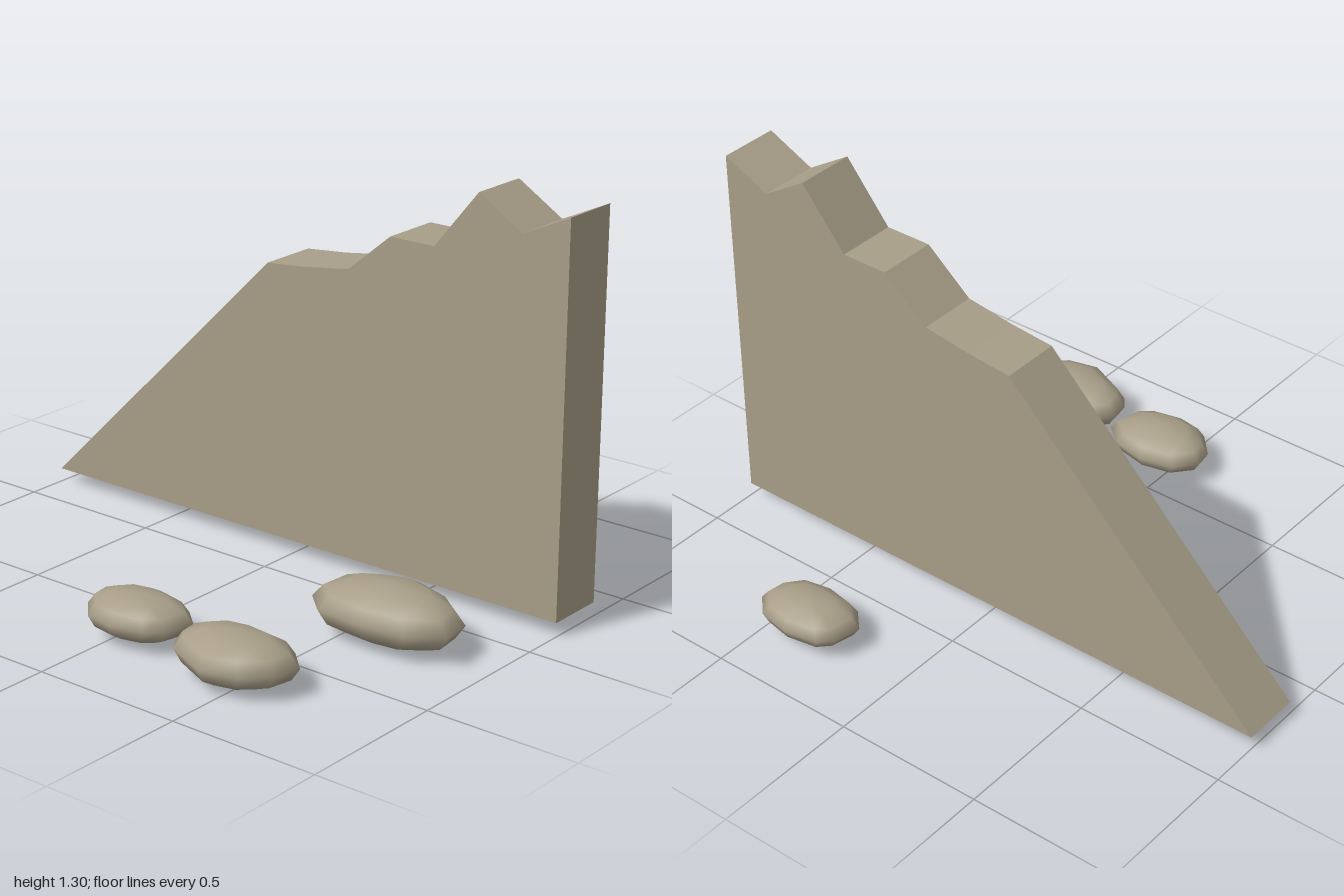
import * as THREE from 'three';

const stone = new THREE.MeshStandardMaterial({ color: 0xa89e88 });
stone.name = 'stone';

// Broken wall: jagged sloping silhouette extruded to its thickness
function createWall() {
  const profile = [
    [-1, 0.045], [1, 0.045], [1, 1.28], [0.84, 1.205], [0.685, 1.3], [0.53, 1.11],
    [0.37, 1.11], [0.215, 0.98], [0.05, 0.955], [-0.1, 0.94],
  ].map(([x, y]) => new THREE.Vector2(x, y));
  const geometry = new THREE.ExtrudeGeometry(new THREE.Shape(profile), { depth: 0.2, bevelEnabled: false });
  geometry.translate(0, 0, -0.335);
  const wall = new THREE.Mesh(geometry, stone);
  wall.name = 'brokenWall';
  return wall;
}

// Ring heights (0 bottom, 1 top) and widths of a flattened boulder, top to bottom
const LEVELS = [[0.9, 0.55], [0.74, 0.85], [0.5, 1], [0.25, 0.87], [0.08, 0.56]];

// Smooth rock: its plan outline is scaled at each level and closed by two poles
function createRock(name, y0, y1, outline) {
  const n = outline.length;
  const cx = outline.reduce((s, p) => s + p[0], 0) / n;
  const cz = outline.reduce((s, p) => s + p[1], 0) / n;
  const positions = [];
  for (const [h, w] of LEVELS) {
    for (const [x, z] of outline) {
      positions.push(cx + (x - cx) * w, y0 + (y1 - y0) * h, cz + (z - cz) * w);
    }
  }
  positions.push(cx, y1, cz, cx, y0, cz);

  const top = n * LEVELS.length;
  const last = n * (LEVELS.length - 1);
  const index = [];
  for (let i = 0; i < n; i++) {
    const j = (i + 1) % n;
    index.push(top, j, i, top + 1, last + i, last + j);
    for (let a = 0; a < last; a += n) {
      const b = a + n;
      index.push(a + i, a + j, b + j, a + i, b + j, b + i);
    }
  }
  const geometry = new THREE.BufferGeometry();
  geometry.setAttribute('position', new THREE.Float32BufferAttribute(positions, 3));
  geometry.setIndex(index);
  geometry.computeVertexNormals();
  const rock = new THREE.Mesh(geometry, stone);
  rock.name = name;
  return rock;
}

export function createModel() {
  const group = new THREE.Group();
  group.name = 'ruinedWall';
  group.add(
    createWall(),
    createRock('frontRightRock', 0.01, 0.15, [
      [-0.12, 0.62], [-0.06, 0.55], [0.055, 0.525], [0.17, 0.55], [0.238, 0.61],
      [0.215, 0.71], [0.165, 0.75], [0.055, 0.775], [-0.04, 0.76], [-0.11, 0.685],
    ]),
    createRock('frontLeftRock', 0, 0.16, [
      [0.26, 0.66], [0.33, 0.585], [0.455, 0.56], [0.59, 0.575], [0.668, 0.65],
      [0.65, 0.74], [0.575, 0.81], [0.455, 0.84], [0.3, 0.77], [0.27, 0.73],
    ]),
    createRock('largeRock', 0.004, 0.185, [
      [0.39, 0.25], [0.4, 0.13], [0.5, 0.07], [0.635, 0.025], [0.78, 0.07],
      [0.87, 0.14], [0.885, 0.25], [0.78, 0.32], [0.63, 0.338], [0.47, 0.325],
    ]),
    createRock('backRock', 0.01, 0.14, [
      [0.2, -0.7], [0.22, -0.79], [0.26, -0.83], [0.375, -0.85], [0.48, -0.83],
      [0.54, -0.77], [0.53, -0.7], [0.48, -0.64], [0.375, -0.62], [0.26, -0.64],
    ]),
  );
  return group;
}
